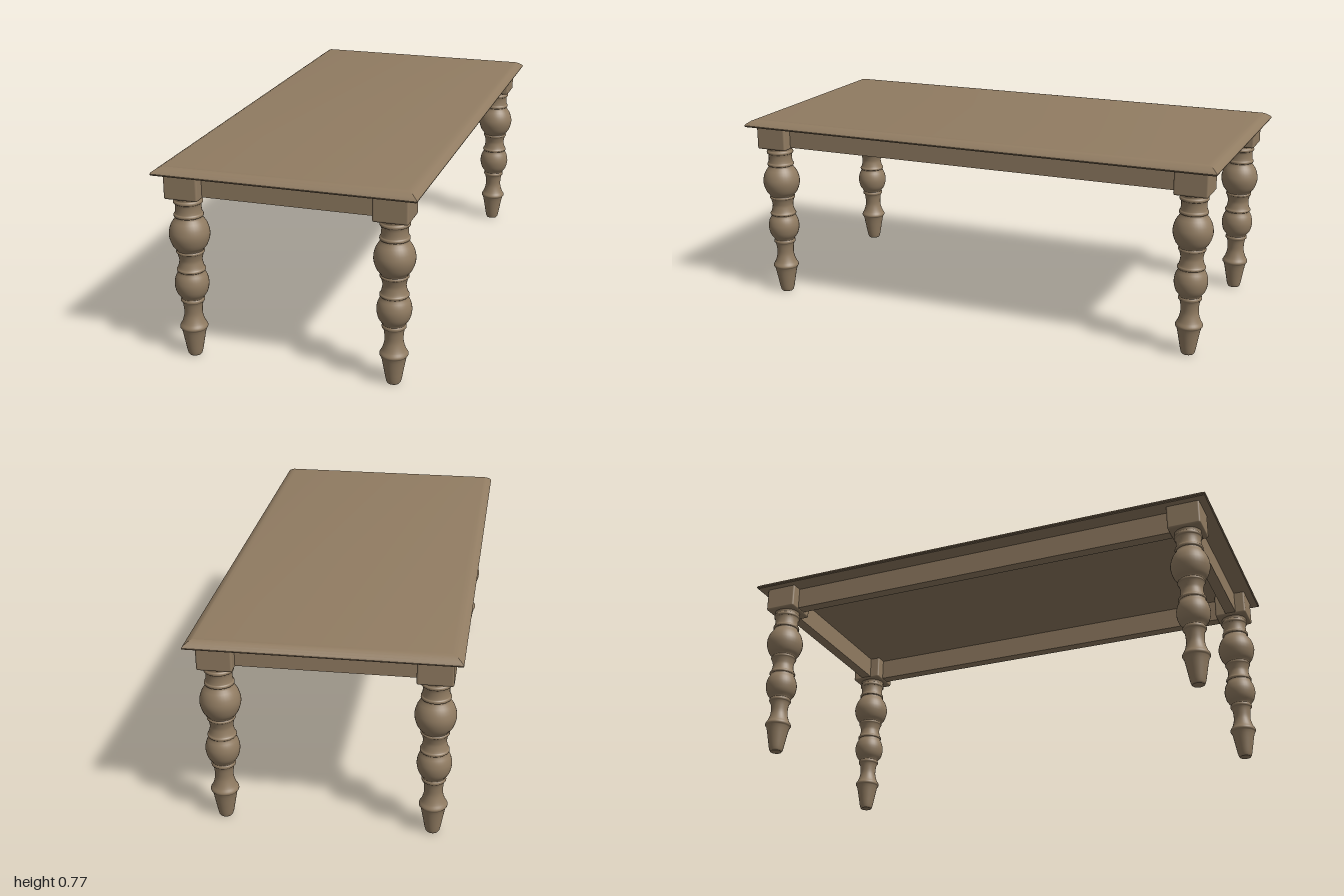
import * as THREE from 'three';
import { toCreasedNormals } from 'three/addons/utils/BufferGeometryUtils.js';
import { RoundedBoxGeometry } from 'three/addons/geometries/RoundedBoxGeometry.js';

const LEG_X = 0.396, LEG_Z = 0.898;

// Rectangular slab whose edge follows a [inset, height] profile, mitred at the corners
function slabGeometry(halfX, halfZ, profile) {
  const signs = [[-1, 1], [1, 1], [1, -1], [-1, -1]];
  const rings = profile.map(([inset, y]) =>
    signs.map(([sx, sz]) => [sx * (halfX - inset), y, sz * (halfZ - inset)]));
  const pos = [];
  const quad = (a, b, c, d) => pos.push(...a, ...b, ...c, ...a, ...c, ...d);
  for (let i = 0; i < rings.length - 1; i++) {
    for (let k = 0; k < 4; k++) {
      const n = (k + 1) % 4;
      quad(rings[i][k], rings[i][n], rings[i + 1][n], rings[i + 1][k]);
    }
  }
  const top = rings[rings.length - 1], bottom = rings[0];
  quad(...top);
  quad(...[...bottom].reverse());
  const geo = new THREE.BufferGeometry();
  geo.setAttribute('position', new THREE.Float32BufferAttribute(pos, 3));
  return toCreasedNormals(geo, 0.5);
}

// Turned leg: [radius, height] from foot to neck
function legGeometry() {
  const outline = [
    [0.023, 0], [0.027, 0.006], [0.037, 0.055], [0.048, 0.108], [0.053, 0.115], [0.053, 0.122],
    [0.045, 0.136], [0.036, 0.165], [0.035, 0.188], [0.04, 0.22],
    [0.045, 0.225], [0.045, 0.233], [0.042, 0.238],
    [0.057, 0.26], [0.065, 0.295], [0.06, 0.325], [0.05, 0.347],
    [0.054, 0.351], [0.054, 0.357], [0.05, 0.362], [0.044, 0.385], [0.044, 0.398], [0.05, 0.42],
    [0.053, 0.423], [0.053, 0.429], [0.05, 0.433],
    [0.065, 0.453], [0.077, 0.495], [0.068, 0.535], [0.05, 0.565],
    [0.055, 0.568], [0.055, 0.576], [0.051, 0.581], [0.05, 0.617],
    [0.055, 0.621], [0.055, 0.629], [0.051, 0.634], [0.054, 0.65],
  ];
  const curve = new THREE.CatmullRomCurve3(outline.map(([r, y]) => new THREE.Vector3(r, y, 0)));
  const points = curve.getPoints((outline.length - 1) * 3).map(p => new THREE.Vector2(p.x, Math.max(0, p.y)));
  points.unshift(new THREE.Vector2(0, 0), new THREE.Vector2(0.0225, 0));
  return new THREE.LatheGeometry(points, 36);
}

export function createModel() {
  const wood = new THREE.MeshStandardMaterial({ color: 0x917c62 });
  wood.name = 'brown wood';
  const table = new THREE.Group();
  table.name = 'table';

  const add = (parent, name, geometry, x = 0, y = 0, z = 0) => {
    const mesh = new THREE.Mesh(geometry, wood);
    mesh.name = name;
    mesh.position.set(x, y, z);
    parent.add(mesh);
  };

  // Top with a rounded-over edge
  add(table, 'tableTop', slabGeometry(0.498, 1, [
    [0.005, 0.743], [0.001, 0.746], [0, 0.75], [0.003, 0.755], [0.011, 0.761],
    [0.021, 0.768], [0.033, 0.773], [0.046, 0.775],
  ]));

  // Four turned legs, each with a square block under the top
  const turned = legGeometry();
  const block = new RoundedBoxGeometry(0.133, 0.112, 0.133, 3, 0.008);
  for (const sx of [-1, 1]) {
    for (const sz of [-1, 1]) {
      const leg = new THREE.Group();
      leg.name = `${sz > 0 ? 'front' : 'back'}${sx > 0 ? 'Left' : 'Right'}Leg`;
      leg.position.set(sx * LEG_X - 0.002, 0, sz * LEG_Z + 0.002);
      add(leg, 'turnedLeg', turned);
      add(leg, 'legBlock', block, 0, 0.701, 0);
      table.add(leg);
    }
  }

  // Aprons joining the blocks
  const sideApron = new THREE.BoxGeometry(0.045, 0.1, 2 * LEG_Z - 0.1);
  const endApron = new THREE.BoxGeometry(2 * LEG_X - 0.1, 0.1, 0.045);
  for (const s of [-1, 1]) {
    add(table, s > 0 ? 'leftApron' : 'rightApron', sideApron, s * LEG_X - 0.002, 0.702, 0.002);
    add(table, s > 0 ? 'frontApron' : 'backApron', endApron, -0.002, 0.702, s * LEG_Z + 0.002);
  }
  return table;
}
